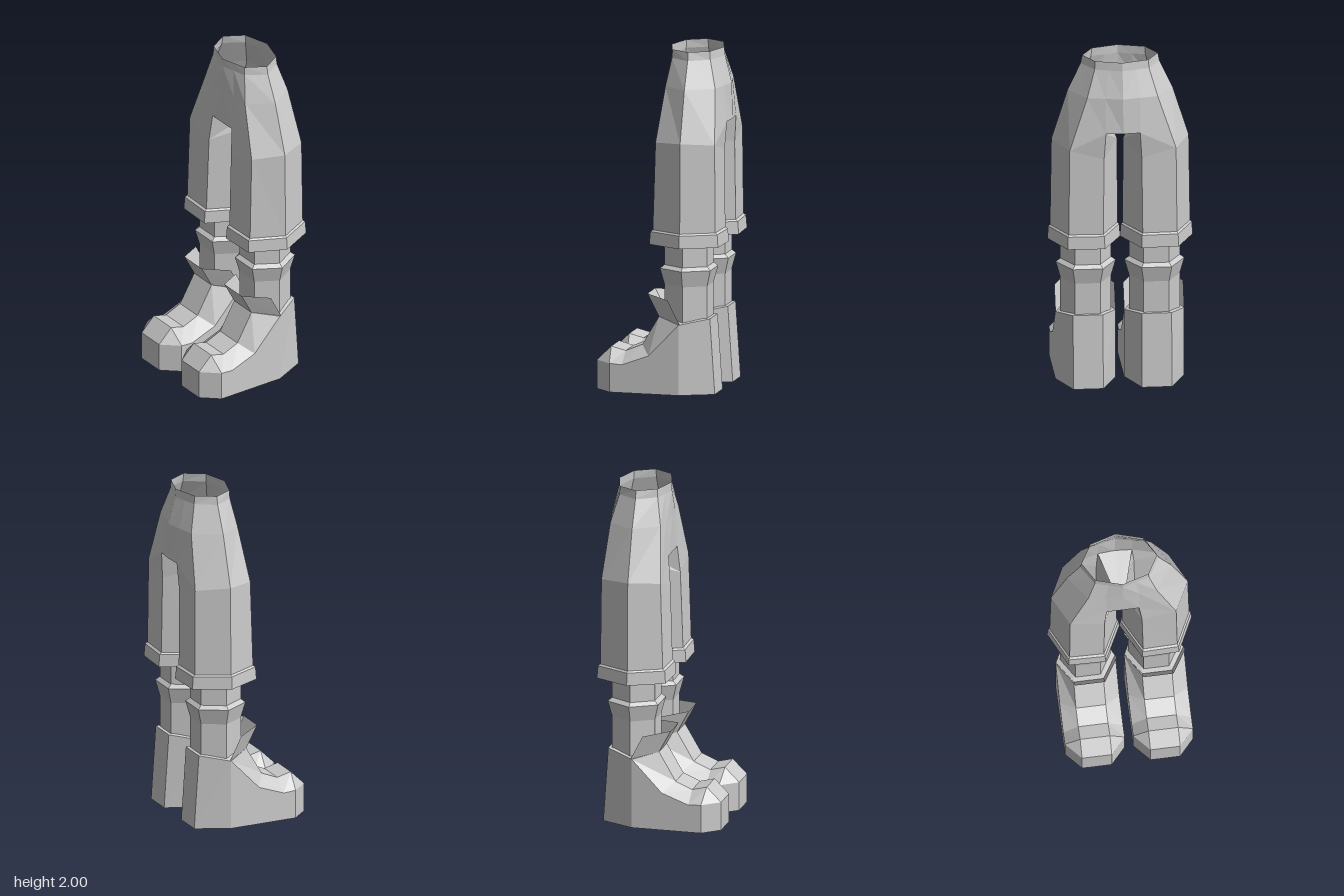
import * as THREE from 'three';

const solid = new THREE.MeshStandardMaterial({ color: 0xcccccc, flatShading: true });
const thin = new THREE.MeshStandardMaterial({ color: 0xcccccc, flatShading: true, side: THREE.DoubleSide });
const MID = -0.157; // z of the body's middle line

// Skins rows of [x, y, z] points; optional closed loops, end caps and mirroring in x.
function skin(name, rows, { closed = false, caps = false, mirror = false, material = thin } = {}) {
  const pos = [];
  const v = (p) => new THREE.Vector3(mirror ? -p[0] : p[0], p[1], p[2]);
  const tri = (a, b, c) => {
    const [A, B, C] = (mirror ? [a, c, b] : [a, b, c]).map(v);
    const area = B.clone().sub(A).cross(C.clone().sub(A)).length();
    if (area > 1e-7) pos.push(...A.toArray(), ...B.toArray(), ...C.toArray());
  };
  for (let i = 0; i < rows.length - 1; i++) {
    const r = rows[i], s = rows[i + 1], n = r.length;
    for (let j = 0; j < (closed ? n : n - 1); j++) {
      const k = (j + 1) % n;
      tri(r[j], s[j], s[k]);
      tri(r[j], s[k], r[k]);
    }
  }
  if (caps) {
    const first = rows[0], last = rows[rows.length - 1];
    for (let j = 1; j < first.length - 1; j++) {
      tri(first[0], first[j], first[j + 1]);
      tri(last[0], last[j + 1], last[j]);
    }
  }
  const g = new THREE.BufferGeometry();
  g.setAttribute('position', new THREE.Float32BufferAttribute(pos, 3));
  g.computeVertexNormals();
  const m = new THREE.Mesh(g, material);
  m.name = name;
  return m;
}

const half = (a, b) => a.map((c, i) => (c + b[i]) / 2);

// One half of the trousers: hip shell, crotch, leg and cuff
function trouserHalf(mirror) {
  const g = new THREE.Group();
  g.name = mirror ? 'rightTrouserHalf' : 'leftTrouserHalf';

  // Hip row: centre front, front, side, back, centre back
  const hipRow = (y, cf, front, side, back, cb) => {
    const c = [0, y, cf], f = [front[0], y, front[1]], b = [back[0], y, back[1]], d = [0, y, cb];
    return [c, half(c, f), f, [side, y, MID], b, half(b, d), d];
  };
  const crotchF = [0.095, 1.58, 0.005], crotchB = [0.1, 1.58, -0.358];
  const inner = [0.04, 1.53, MID];
  const thigh = [[0.31, 1.475, 0.015], [0.4, 1.49, MID], [0.31, 1.475, -0.34]];
  const centreF = [0, 1.58, 0.005], centreB = [0, 1.58, -0.365];
  g.add(skin('hips', [
    hipRow(2, 0, [0.155, -0.045], 0.22, [0.155, -0.27], -0.315),
    hipRow(1.95, 0, [0.158, -0.043], 0.23, [0.158, -0.273], -0.32),
    hipRow(1.79, 0.003, [0.2, -0.015], 0.305, [0.205, -0.315], -0.36),
    [centreF, crotchF, ...thigh, crotchB, centreB],
  ], { mirror }));

  g.add(skin('crotch', [
    [centreF, [0, 1.53, MID], centreB],
    [crotchF, inner, crotchB],
  ], { mirror }));

  const hem = (y) => [[0.015, y, MID], [0.115, y, 0.035], [0.315, y, 0.03],
    [0.408, y, MID], [0.315, y, -0.345], [0.115, y, -0.352]];
  g.add(skin('trouserLeg', [
    [inner, crotchF, ...thigh, crotchB],
    [[0.017, 1.48, MID], [0.11, 1.42, 0.02], ...thigh, [0.11, 1.42, -0.347]],
    hem(0.95),
  ], { closed: true, mirror }));

  // Turned-up cuff, folded back inside
  const cuff = (y, s) => hem(y).map(([x, , z]) => [0.213 + (x - 0.213) * s, y, MID + (z - MID) * (s + 0.02)]);
  g.add(skin('cuff', [hem(0.96), cuff(0.95, 1.05), cuff(0.875, 1.08), hem(0.885), hem(0.95)],
    { closed: true, mirror }));
  return g;
}

// Six-sided sock with a flared band
function sock() {
  const profile = [[0.148, 0.4], [0.148, 0.635], [0.175, 0.73], [0.148, 0.75], [0.148, 0.93], [0, 0.93]];
  const m = new THREE.Mesh(
    new THREE.LatheGeometry(profile.map(([r, y]) => new THREE.Vector2(r, y)), 6, Math.PI / 2), solid);
  m.name = 'sock';
  m.position.z = MID;
  return m;
}

// Boot sections from toe to heel: sole z, half width, side z and y, ridge z and y
function boot() {
  const g = new THREE.Group();
  g.name = 'boot';
  const r = 0.087;
  const sections = [
    [0.373, r, 0.373, 0.17, 0.373, 0.17],
    [0.275, 0.175, 0.275, 0.17, 0.287, 0.255],
    [0.2, 0.175, 0.2, 0.165, 0.2, 0.233],
    [0.04, 0.175, 0.04, 0.225, 0.1, 0.275],
    [-0.14, 0.175, -0.14, 0.415, 0, 0.445],
    [-0.335, r, -0.305, 0.445, -0.305, 0.445],
  ];
  g.add(skin('bootBody', sections.map(([zb, w, zs, ys, zr, yr]) => [
    [w, 0, zb], [w, ys, zs], [r, yr, zr], [-r, yr, zr], [-w, ys, zs], [-w, 0, zb],
  ]), { closed: true, caps: true, material: solid }));

  // Flared flap around the ankle
  const flap = (ys, zs, yr, zr) => [[-0.175, ys, zs], [-r, yr, zr], [r, yr, zr], [0.175, ys, zs]];
  g.add(skin('tongue', [flap(0.558, -0.075, 0.577, 0.07), flap(0.415, -0.148, 0.445, 0)]));
  return g;
}

export function createModel() {
  const model = new THREE.Group();
  model.name = 'trousersAndBoots';
  for (const side of [1, -1]) {
    model.add(trouserHalf(side < 0));
    const foot = new THREE.Group();
    foot.name = side < 0 ? 'rightFoot' : 'leftFoot';
    foot.position.x = side * 0.2;
    foot.add(sock(), boot());
    model.add(foot);
  }
  return model;
}
